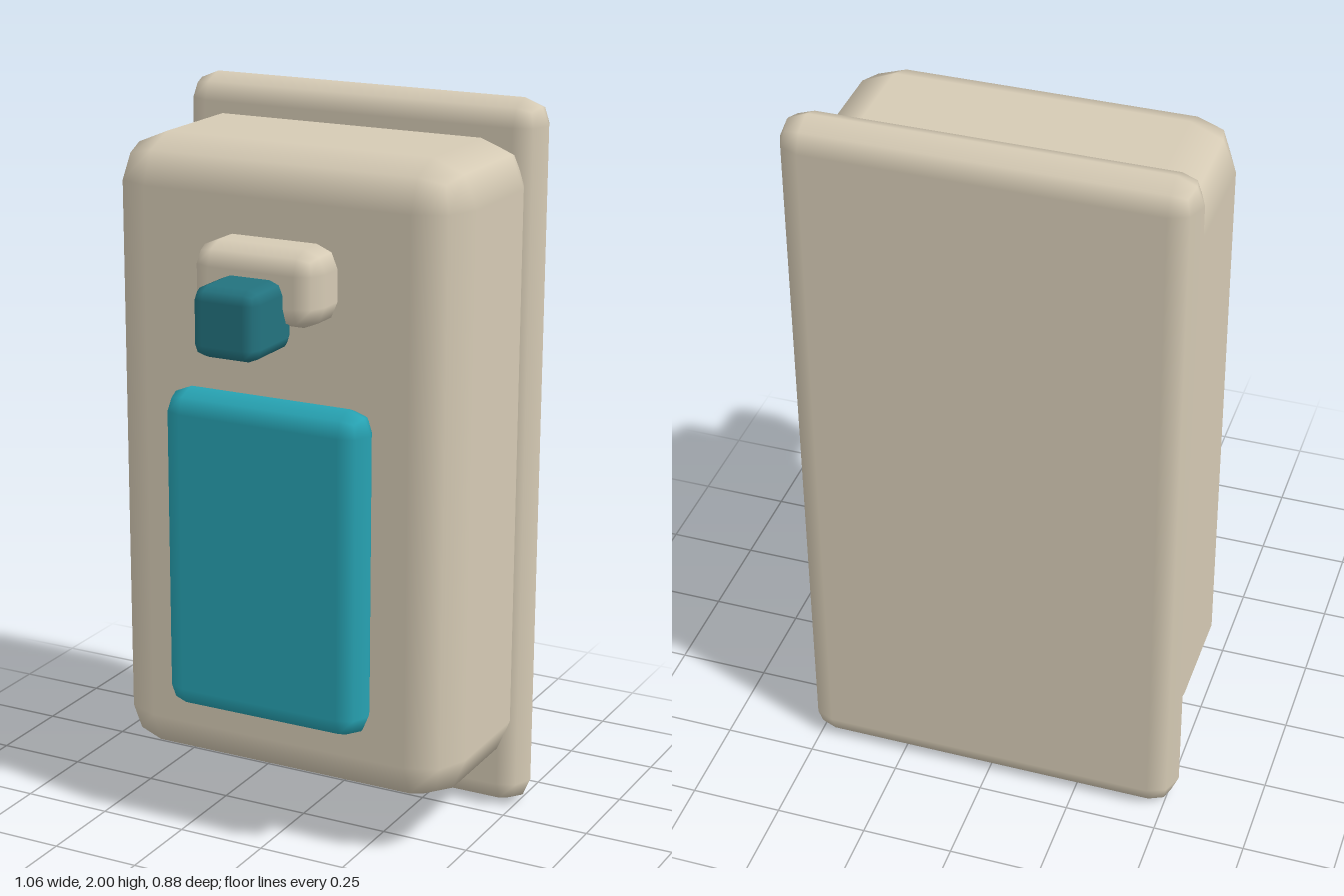
import * as THREE from 'three';

const material = (name, color) => {
  const m = new THREE.MeshStandardMaterial({ color });
  m.name = name;
  return m;
};

// Box with smooth, two-step rounded edges, given by its limits on each axis
function roundedBox(name, [x0, x1], [y0, y1], [z0, z1], radius, mat) {
  const half = new THREE.Vector3(x1 - x0, y1 - y0, z1 - z0).multiplyScalar(0.5);
  const core = half.clone().subScalar(radius);
  const geometry = new THREE.BoxGeometry(2, 2, 2, 3, 3, 3);
  const pos = geometry.attributes.position;
  const nor = geometry.attributes.normal;
  const p = new THREE.Vector3();
  const n = new THREE.Vector3();
  // Outer grid lines point diagonally, inner ones straight out of the face
  const snap = (v) => (Math.abs(v) > 0.9 ? Math.sign(v) : 0);
  for (let i = 0; i < pos.count; i++) {
    p.fromBufferAttribute(pos, i);
    n.set(snap(p.x), snap(p.y), snap(p.z)).normalize();
    nor.setXYZ(i, n.x, n.y, n.z);
    pos.setXYZ(
      i,
      Math.sign(p.x) * core.x + n.x * radius,
      Math.sign(p.y) * core.y + n.y * radius,
      Math.sign(p.z) * core.z + n.z * radius
    );
  }
  const mesh = new THREE.Mesh(geometry, mat);
  mesh.name = name;
  mesh.position.set((x0 + x1) / 2, (y0 + y1) / 2, (z0 + z1) / 2);
  return mesh;
}

export function createModel() {
  const beige = material('beige', 0xd6cbb5);
  const teal = material('teal', 0x27a3b3);
  const darkTeal = material('darkTeal', 0x23737f);

  const group = new THREE.Group();
  group.name = 'wallDispenser';
  group.add(
    // Wall plate and housing
    roundedBox('backPlate', [-0.53, 0.53], [0, 2], [-0.438, -0.29], 0.07, beige),
    roundedBox('housing', [-0.51, 0.51], [0.16, 1.905], [-0.38, 0.162], 0.124, beige),
    // Front panel
    roundedBox('frontPanel', [-0.295, 0.295], [0.365, 1.265], [0.128, 0.262], 0.062, teal),
    // Spout and its mount
    roundedBox('spoutMount', [-0.183, 0.183], [1.475, 1.68], [0.09, 0.29], 0.06, beige),
    roundedBox('spout', [-0.093, 0.093], [1.418, 1.605], [0.222, 0.438], 0.036, darkTeal)
  );
  return group;
}
